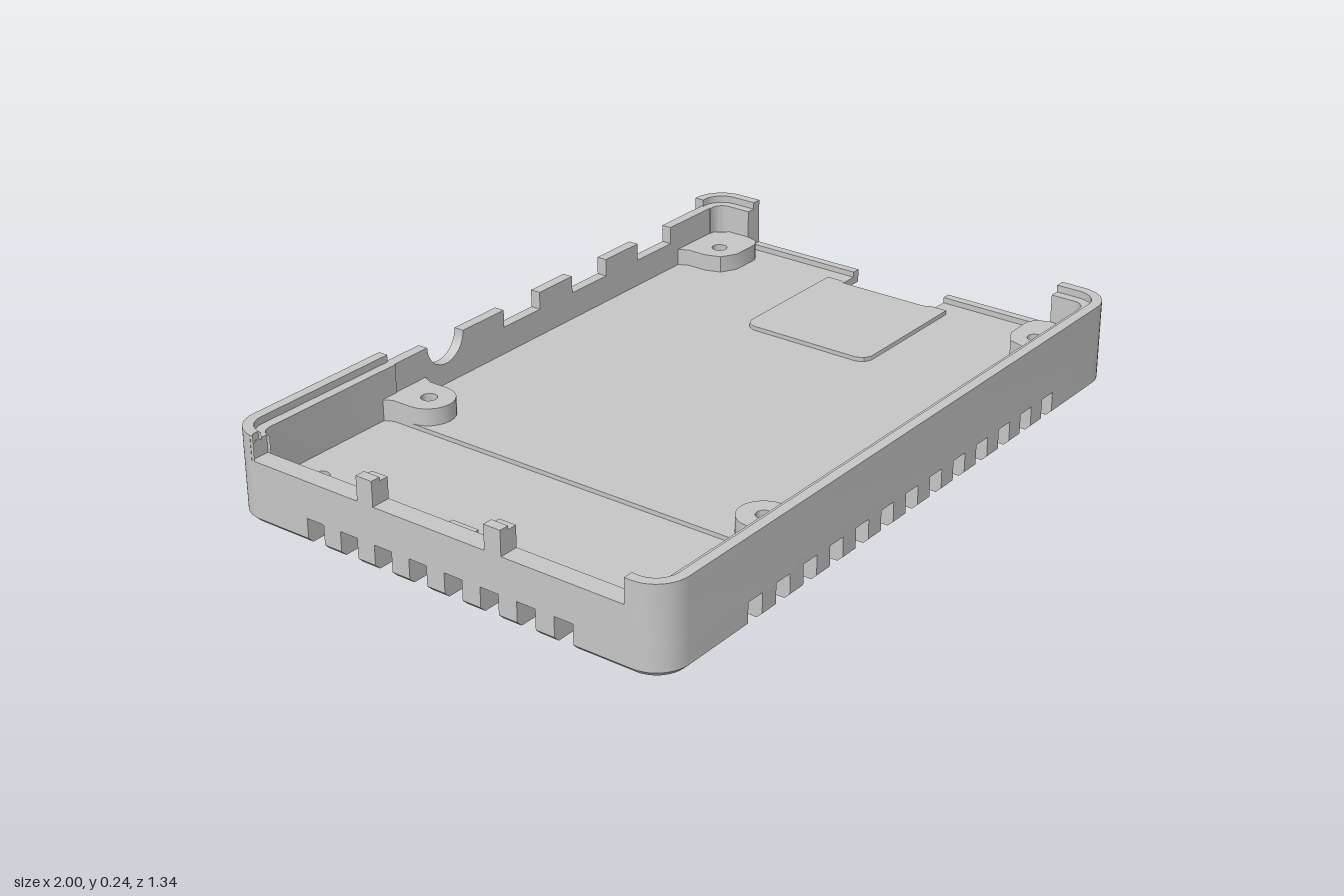
import * as THREE from 'three';
import { toCreasedNormals } from 'three/addons/utils/BufferGeometryUtils.js';

const W = 1, D = 0.67, R = 0.09;          // half width, half depth, corner radius
const PITCH = 0.11, BAR = 0.055;          // fin spacing and fin width
const EDGE_X = 0.6875, EDGE_Z = 0.4125;   // inner limits of the corner feet
const BASE = 0.07, FLOOR = 0.092, RIM = 0.24;

export function createModel() {
  const metal = new THREE.MeshStandardMaterial({ color: 0xc6c6c6 });
  metal.name = 'light grey metal';
  const model = new THREE.Group();
  model.name = 'caseBase';

  const add = (name, geometry, parent = model) => {
    const mesh = new THREE.Mesh(toCreasedNormals(geometry, 0.6), metal);
    mesh.name = name;
    parent.add(mesh);
  };
  const group = (name) => {
    const g = new THREE.Group();
    g.name = name;
    model.add(g);
    return g;
  };
  // Plan shapes are given as [x, z] points
  const plan = (pts) => new THREE.Shape(pts.map(([x, z]) => new THREE.Vector2(x, -z)));
  const rect = (x0, x1, z0, z1) => plan([[x0, z0], [x0, z1], [x1, z1], [x1, z0]]);
  const hole = (shape, x, z, r) => {
    shape.holes.push(new THREE.Path().absarc(x, -z, r, 0, Math.PI * 2));
    return shape;
  };
  const slab = (shape, y0, y1) => new THREE.ExtrudeGeometry(shape,
    { depth: y1 - y0, bevelEnabled: false, curveSegments: 12 }).rotateX(-Math.PI / 2).translate(0, y0, 0);
  const box = (x0, x1, y0, y1, z0, z1) => new THREE.BoxGeometry(x1 - x0, y1 - y0, z1 - z0)
    .translate((x0 + x1) / 2, (y0 + y1) / 2, (z0 + z1) / 2);
  // Arc around a body corner; sx, sz choose the corner, d is the inset
  const corner = (sx, sz, d, flip = false) => {
    const pts = [];
    for (let i = 0; i <= 10; i++) {
      const a = (i / 10) * Math.PI / 2;
      pts.push([sx * (W - R + (R - d) * Math.cos(a)), sz * (D - R + (R - d) * Math.sin(a))]);
    }
    return flip ? pts.reverse() : pts;
  };
  // Pull the lowest vertices in to chamfer the outer edge
  const chamfer = (geometry) => {
    const p = geometry.attributes.position;
    for (let i = 0; i < p.count; i++) {
      if (p.getY(i) > 0.001) continue;
      const x = p.getX(i), z = p.getZ(i);
      const dx = Math.max(Math.abs(x) - W + R, 0), dz = Math.max(Math.abs(z) - D + R, 0);
      const r = Math.hypot(dx, dz);
      if (r <= R - 0.015) continue;
      const k = 1 - (R - 0.015) / r;
      p.setX(i, x - Math.sign(x) * dx * k);
      p.setZ(i, z - Math.sign(z) * dz * k);
    }
    geometry.computeVertexNormals();
    return geometry;
  };
  const foot = (name, parent, make) => {
    add(name, slab(make(false), 0.015, BASE), parent);
    add(name + 'Bottom', chamfer(slab(make(true), 0, 0.015)), parent);
  };

  // Corner feet with countersunk screw holes
  const feet = group('cornerFeet');
  for (const sx of [-1, 1]) for (const sz of [-1, 1]) {
    foot('cornerFoot', feet, (low) => hole(plan([
      [sx * EDGE_X, sz * EDGE_Z], [sx * W, sz * EDGE_Z], ...corner(sx, sz, 0), [sx * EDGE_X, sz * D],
    ]), sx * 0.83, sz * 0.53, low ? 0.055 : 0.022));
  }

  // Cooling fins along the edges and staggered pins in the middle
  const fins = group('coolingFins');
  const rows = [-3, -2, -1, 0, 1, 2, 3].map((i) => i * PITCH);
  const shifted = [...rows.map((z) => z - PITCH / 2), 3.5 * PITCH];
  for (let k = 0; k < 12; k++) {
    const x = (k - 5.5) * PITCH, x0 = x - BAR / 2, x1 = x + BAR / 2;
    foot('frontFin', fins, () => rect(x0, x1, EDGE_Z, D));
    foot('backFin', fins, () => rect(x0, x1, -D, -EDGE_Z));
    for (const z of k % 2 ? rows : shifted) {
      add('pin', box(x0, x1, 0, BASE, z - BAR / 2, z + BAR / 2), fins);
    }
  }
  for (const z of rows) {
    const end = Math.abs(z) < 0.15 ? 0.9 : W;
    foot('leftFin', fins, () => rect(EDGE_X, end, z - BAR / 2, z + BAR / 2));
    foot('rightFin', fins, () => rect(-W, -EDGE_X, z - BAR / 2, z + BAR / 2));
  }

  // Floor with card slot and screw holes, in two levels
  const slotSide = [
    [W, -0.155], [0.915, -0.155], [0.9, -0.14], [0.9, 0.135], [0.915, 0.15], [W, 0.15], ...corner(1, 1, 0),
  ];
  const drill = (shape, columns) => {
    for (const x of columns) for (const z of [-0.53, 0.53]) hole(shape, x, z, 0.022);
    return shape;
  };
  add('floor', slab(drill(plan([
    ...slotSide, ...corner(-1, 1, 0, true), ...corner(-1, -1, 0), ...corner(1, -1, 0, true),
  ]), [-0.83, -0.43, 0.83]), BASE, 0.08));
  add('raisedFloor', slab(drill(plan([
    ...slotSide, [-0.5, D], [-0.5, -D], ...corner(1, -1, 0, true),
  ]), [-0.43, 0.83]), 0.08, FLOOR));
  add('contactPad', slab(plan([
    [0.91, -0.2], [0.53, -0.2], [0.51, -0.19], [0.5, -0.17],
    [0.5, 0.17], [0.51, 0.19], [0.53, 0.2], [0.91, 0.2],
    [0.91, 0.15], [0.9, 0.135], [0.9, -0.14], [0.91, -0.155],
  ]), FLOOR, 0.104));

  // Full-height walls with a thin lip along the rim
  const walls = group('walls');
  const runs = {
    frontWall: (d) => [[W - d, 0.51], ...corner(1, 1, d), ...corner(-1, 1, d, true), [d - W, 0.56]],
    backRightWall: (d) => [[d - W, -0.59], ...corner(-1, -1, d), [-0.46, d - D]],
    backLeftWall: (d) => [[0.9, d - D], ...corner(1, -1, d, true), [W - d, -0.51]],
  };
  for (const [name, run] of Object.entries(runs)) {
    add(name, slab(plan([...run(0), ...run(0.055).reverse()]), BASE, 0.22), walls);
    add(name + 'Lip', slab(plan([...run(0), ...run(0.028).reverse()]), 0.22, RIM), walls);
  }

  // Low sills either side of the card slot
  add('leftSill', box(0.975, W, FLOOR, 0.108, 0.15, 0.51), walls);
  add('leftSill', box(0.975, W, FLOOR, 0.108, -0.51, -0.155), walls);

  // Low right wall with two posts and a board stop
  add('rightLowWall', box(-W, -0.945, BASE, 0.172, -0.59, 0.56), walls);
  for (const z of [-0.215, 0.18]) {
    add('rightPost', box(-W, -0.945, 0.172, 0.23, z - 0.025, z + 0.025), walls);
    add('rightPostLip', box(-W, -0.972, 0.23, RIM, z - 0.025, z + 0.025), walls);
  }
  add('boardStop', slab(plan([
    [-0.945, -0.065], [-0.93, -0.045], [-0.89, -0.04], [-0.89, 0.04], [-0.93, 0.045], [-0.945, 0.065],
  ]), BASE, 0.14), walls);

  // Recessed back wall with port cut-outs and a round cable notch
  const LOW = 0.17, TOP = 0.22;
  const back = new THREE.Shape();
  back.moveTo(-0.46, BASE);
  back.lineTo(0.9, BASE);
  back.lineTo(0.9, TOP);
  for (const [a, b] of [[0.555, 0.71], [0.26, 0.41], [-0.03, 0.12]]) {
    back.lineTo(b, TOP);
    back.lineTo(b, LOW);
    back.lineTo(a, LOW);
    back.lineTo(a, TOP);
  }
  back.lineTo(-0.195, TOP);
  back.absarc(-0.265, TOP, 0.07, 0, Math.PI, true);
  back.lineTo(-0.46, TOP);
  add('backPortWall', new THREE.ExtrudeGeometry(back,
    { depth: 0.03, bevelEnabled: false }).translate(0, 0, -0.648), walls);
  add('backLedge', box(-0.46, 0.9, BASE, 0.12, -D, -0.648), walls);

  // Board mounts, mirrored front to back
  const mounts = group('boardMounts');
  for (const s of [-1, 1]) {
    const arc = [];
    for (let i = 0; i <= 12; i++) {
      const a = (i / 12) * Math.PI;
      arc.push([-0.43 - 0.07 * Math.cos(a), s * (0.53 - 0.07 * Math.sin(a))]);
    }
    add('rightMount', slab(hole(plan([
      [-0.515, s * 0.62], [-0.5, s * 0.59], ...arc, [-0.36, s * 0.59], [-0.345, s * 0.62],
    ]), -0.43, s * 0.53, 0.022), 0.08, 0.14), mounts);
    add('leftMount', slab(hole(plan([
      [0.745, s * 0.62], [0.76, s * 0.59], [0.76, s * 0.53], [0.775, s * 0.485], [0.82, s * 0.46],
      [0.91, s * 0.46], [0.935, s * 0.475], [0.945, s * 0.51], [0.945, s * 0.58], [0.91, s * 0.62],
    ]), 0.83, s * 0.53, 0.022), FLOOR, 0.14), mounts);
  }
  return model;
}
